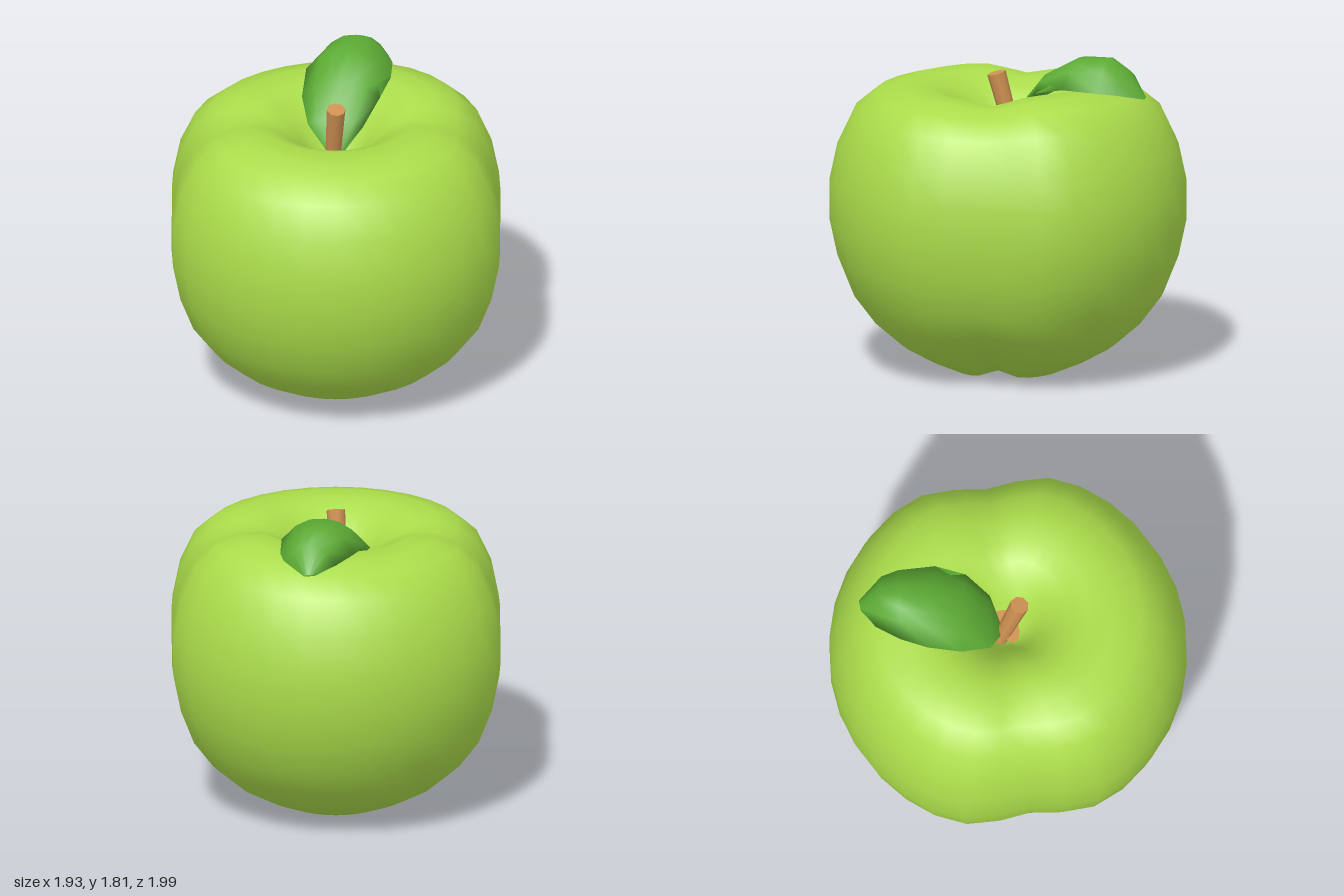
import * as THREE from 'three';
import { mergeVertices } from 'three/addons/utils/BufferGeometryUtils.js';

const material = (name, color, side = THREE.FrontSide) => {
  const m = new THREE.MeshStandardMaterial({ color, side });
  m.name = name;
  return m;
};

function part(name, geometry, mat) {
  const mesh = new THREE.Mesh(geometry, mat);
  mesh.name = name;
  return mesh;
}

// Drop seams so that the shading is smooth all round
function smooth(geometry) {
  geometry.deleteAttribute('uv');
  geometry.deleteAttribute('normal');
  const merged = mergeVertices(geometry, 1e-4);
  merged.computeVertexNormals();
  return merged;
}

// Turned fruit with two opposite grooves and one raised shoulder
function fruitGeometry() {
  const profile = [
    [0, 0.05], [0.15, 0.025], [0.3, 0], [0.45, 0.065], [0.6, 0.15], [0.75, 0.28], [0.87, 0.44],
    [0.95, 0.64], [0.995, 0.85], [0.995, 1.07], [0.95, 1.28], [0.86, 1.47], [0.74, 1.57],
    [0.6, 1.61], [0.45, 1.61], [0.33, 1.555], [0.23, 1.47], [0.15, 1.36], [0.08, 1.25], [0, 1.2],
  ].map(([r, y]) => new THREE.Vector2(r, y));
  const geometry = new THREE.LatheGeometry(profile, 32);
  const p = geometry.attributes.position;
  const step = Math.PI / 16;
  for (let i = 0; i < p.count; i++) {
    const x = p.getX(i), y = p.getY(i), z = p.getZ(i);
    const r = Math.hypot(x, z), phi = Math.atan2(x, z);
    // angle to the nearer of the two grooves
    let d = (phi - 7 * step) % Math.PI;
    d -= Math.PI * Math.round(d / Math.PI);
    const groove = Math.exp(-((d / (1.4 * step)) ** 2));
    const scale = 1 - 0.105 * groove;
    const reach = Math.min(1, r / 0.45);
    const top = THREE.MathUtils.smoothstep(y, 1.25, 1.6) * reach;
    const bottom = (1 - THREE.MathUtils.smoothstep(y, 0, 0.5)) * reach;
    const shoulder = Math.max(0, Math.cos(phi - 2.09)) ** 4;
    p.setXYZ(i, x * scale, y + top * (0.03 * shoulder - 0.045 * groove) + 0.06 * bottom * groove, z * scale);
  }
  return smooth(geometry);
}

// Domed leaf: each station has a left edge, a right edge and a crest height
function leafGeometry() {
  const stations = [
    [[-0.02, 1.33, -0.04], [0.03, 1.33, -0.03], 1.34],
    [[-0.13, 1.49, -0.15], [0.16, 1.49, -0.05], 1.53],
    [[-0.13, 1.58, -0.32], [0.28, 1.62, -0.15], 1.7],
    [[-0.07, 1.66, -0.5], [0.37, 1.66, -0.3], 1.8],
    [[0.03, 1.66, -0.63], [0.42, 1.65, -0.5], 1.81],
    [[0.15, 1.64, -0.73], [0.42, 1.64, -0.6], 1.75],
    [[0.28, 1.6, -0.77], [0.34, 1.6, -0.76], 1.61],
  ];
  const across = 6, ring = across * 2;
  const positions = [], index = [];
  stations.forEach(([left, right, crest], j) => {
    const a = new THREE.Vector3(...left), b = new THREE.Vector3(...right);
    const rise = crest - (a.y + b.y) / 2;
    const thickness = j === 0 || j === 6 ? 0.01 : 0.04;
    for (let k = 0; k < ring; k++) {
      const under = k > across;
      const t = under ? (ring - k) / across : k / across;
      const dome = 1 - Math.abs(2 * t - 1) ** 2.4;
      const v = a.clone().lerp(b, t);
      positions.push(v.x, v.y + (rise - (under ? thickness : 0)) * dome, v.z);
    }
  });
  for (let j = 0; j < stations.length - 1; j++) {
    for (let k = 0; k < ring; k++) {
      const a = j * ring + k, b = j * ring + (k + 1) % ring;
      index.push(a, b, b + ring, a, b + ring, a + ring);
    }
  }
  // close both ends
  const last = (stations.length - 1) * ring;
  for (let k = 1; k < ring - 1; k++) {
    index.push(0, k + 1, k, last, last + k, last + k + 1);
  }
  const geometry = new THREE.BufferGeometry();
  geometry.setAttribute('position', new THREE.Float32BufferAttribute(positions, 3));
  geometry.setIndex(index);
  geometry.computeVertexNormals();
  return geometry;
}

export function createModel() {
  const skin = material('apple green', 0xaadc4a);
  const leafGreen = material('leaf green', 0x5cab34, THREE.DoubleSide);
  const bark = material('stem brown', 0xcf9152);

  const model = new THREE.Group();
  model.name = 'apple';
  model.add(part('fruit', fruitGeometry(), skin));
  model.add(part('leaf', leafGeometry(), leafGreen));

  // Stem leaning forward out of the hollow
  const stem = part('stem', new THREE.CylinderGeometry(0.053, 0.04, 0.5, 8), bark);
  stem.position.set(-0.012, 1.435, 0);
  stem.rotation.x = 0.26;
  model.add(stem);

  // Brown patch at the foot of the stem
  const foot = part('stemFoot', new THREE.CircleGeometry(1, 12).rotateX(-Math.PI / 2), bark);
  foot.scale.set(0.12, 1, 0.055);
  foot.position.set(0.03, 1.32, 0.01);
  model.add(foot);

  return model;
}
